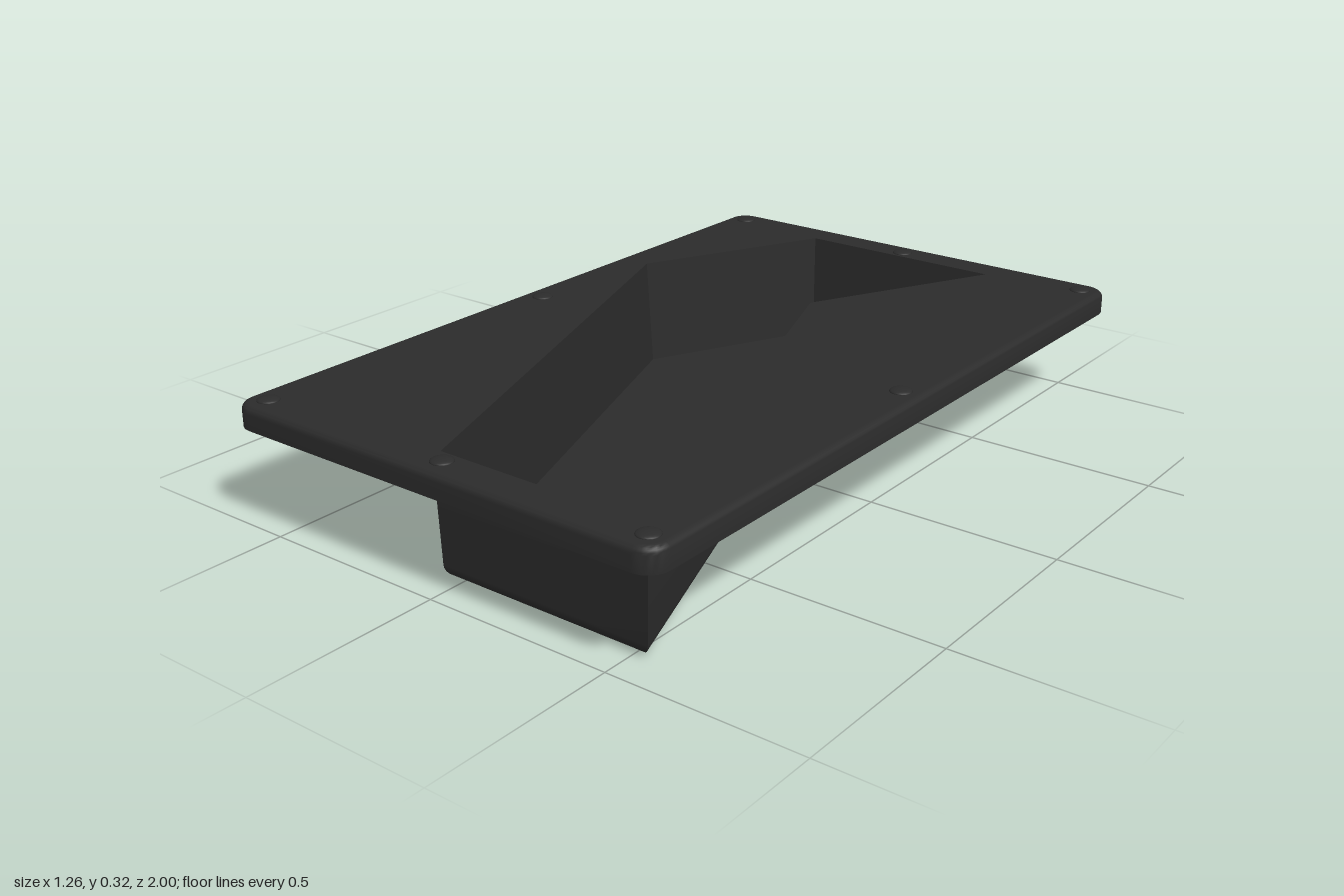
import * as THREE from 'three';
import { mergeGeometries, toCreasedNormals } from 'three/addons/utils/BufferGeometryUtils.js';

const TOP = 0.31, UNDER = 0.29, RIM = 0.25, FLOOR = 0.02;
const CREASE = 0.6;

// Bent channel outline, counter-clockwise seen from above, as (x, -z)
const CHANNEL = [[-0.285, 0.905], [-0.53, 0.4], [-0.04, -0.905], [0.53, -0.905], [0.04, 0.4], [0.295, 0.905]]
  .map(([x, v]) => new THREE.Vector2(x, v));

// Channel outline moved outward by d with mitred corners
function channel(d) {
  const n = CHANNEL.length;
  const normal = (a, b) => new THREE.Vector2(b.y - a.y, a.x - b.x).normalize();
  return CHANNEL.map((p, i) => {
    const n1 = normal(CHANNEL[(i + n - 1) % n], p);
    const n2 = normal(p, CHANNEL[(i + 1) % n]);
    return n1.clone().add(n2).multiplyScalar(d / (1 + n1.dot(n2))).add(p);
  });
}

// Rounded rectangle of the plate, moved inward by d
function plateLoop(d) {
  const w = 0.63, h = 1, r = 0.055, pts = [];
  [[1, 1], [-1, 1], [-1, -1], [1, -1]].forEach(([sx, sy], k) => {
    for (let i = 0; i <= 8; i++) {
      const a = (k + i / 8) * Math.PI / 2;
      pts.push(new THREE.Vector2(sx * (w - r) + (r - d) * Math.cos(a), sy * (h - r) + (r - d) * Math.sin(a)));
    }
  });
  return pts;
}

// Surface through a list of [loop, y] rings
function skin(rings) {
  const pos = [];
  const at = ([loop, y], i) => { const p = loop[i % loop.length]; return [p.x, y, -p.y]; };
  for (let k = 0; k < rings.length - 1; k++) {
    for (let i = 0; i < rings[k][0].length; i++) {
      const a = at(rings[k], i), b = at(rings[k], i + 1);
      const c = at(rings[k + 1], i + 1), d = at(rings[k + 1], i);
      pos.push(...a, ...b, ...c, ...a, ...c, ...d);
    }
  }
  const g = new THREE.BufferGeometry();
  g.setAttribute('position', new THREE.Float32BufferAttribute(pos, 3));
  return toCreasedNormals(g, CREASE);
}

// Flat face at height y, facing up or down, with an optional hole
function cap(loop, y, up, hole) {
  const shape = new THREE.Shape(loop);
  if (hole) shape.holes.push(new THREE.Path(hole));
  const g = new THREE.ShapeGeometry(shape).rotateX(-Math.PI / 2).translate(0, y, 0);
  g.deleteAttribute('uv');
  if (!up) g.setIndex(Array.from(g.index.array).reverse());
  return toCreasedNormals(g.toNonIndexed(), CREASE);
}

export function createModel() {
  const group = new THREE.Group();
  const plastic = new THREE.MeshStandardMaterial({ color: 0x2b2b2b });
  plastic.name = 'black plastic';
  const add = (name, geometry) => {
    const mesh = new THREE.Mesh(geometry, plastic);
    mesh.name = name;
    group.add(mesh);
    return mesh;
  };

  // Cover plate: hollow below, with a down-turned rim and rounded top edge
  const f = 0.018;
  const rim = [[plateLoop(0.025), UNDER], [plateLoop(0.025), RIM], [plateLoop(0), RIM]];
  for (let i = 0; i <= 5; i++) {
    const a = i / 5 * Math.PI / 2;
    rim.push([plateLoop(f * (1 - Math.cos(a))), TOP - f + f * Math.sin(a)]);
  }
  add('coverPlate', mergeGeometries([
    skin(rim),
    cap(plateLoop(f), TOP, true, channel(0)),
    cap(plateLoop(0.025), UNDER, false, channel(0.015)),
  ]));

  // Basin outside: slightly tapered walls with a rounded bottom edge
  const r = 0.035, outer = [];
  for (let i = 0; i <= 6; i++) {
    const a = i / 6 * Math.PI / 2;
    outer.push([channel(0.008 - r * (1 - Math.sin(a))), r * (1 - Math.cos(a))]);
  }
  outer.push([channel(0.015), UNDER]);
  add('basinShell', mergeGeometries([skin(outer), cap(outer[0][0], 0, false)]));

  // Basin inside: tapered walls and flat floor
  add('basinLining', mergeGeometries([
    skin([[channel(0), TOP], [channel(-0.018), FLOOR]]),
    cap(channel(-0.018), FLOOR, true),
  ]));

  // Low domed rivets around the plate edge
  const dome = new THREE.SphereGeometry(1, 20, 6, 0, Math.PI * 2, 0, Math.PI / 2).scale(0.028, 0.008, 0.028);
  for (const x of [-0.57, 0, 0.57]) {
    for (const z of [-0.94, 0, 0.94]) {
      if (x || z) add('rivet', dome).position.set(x, TOP, z);
    }
  }
  return group;
}
